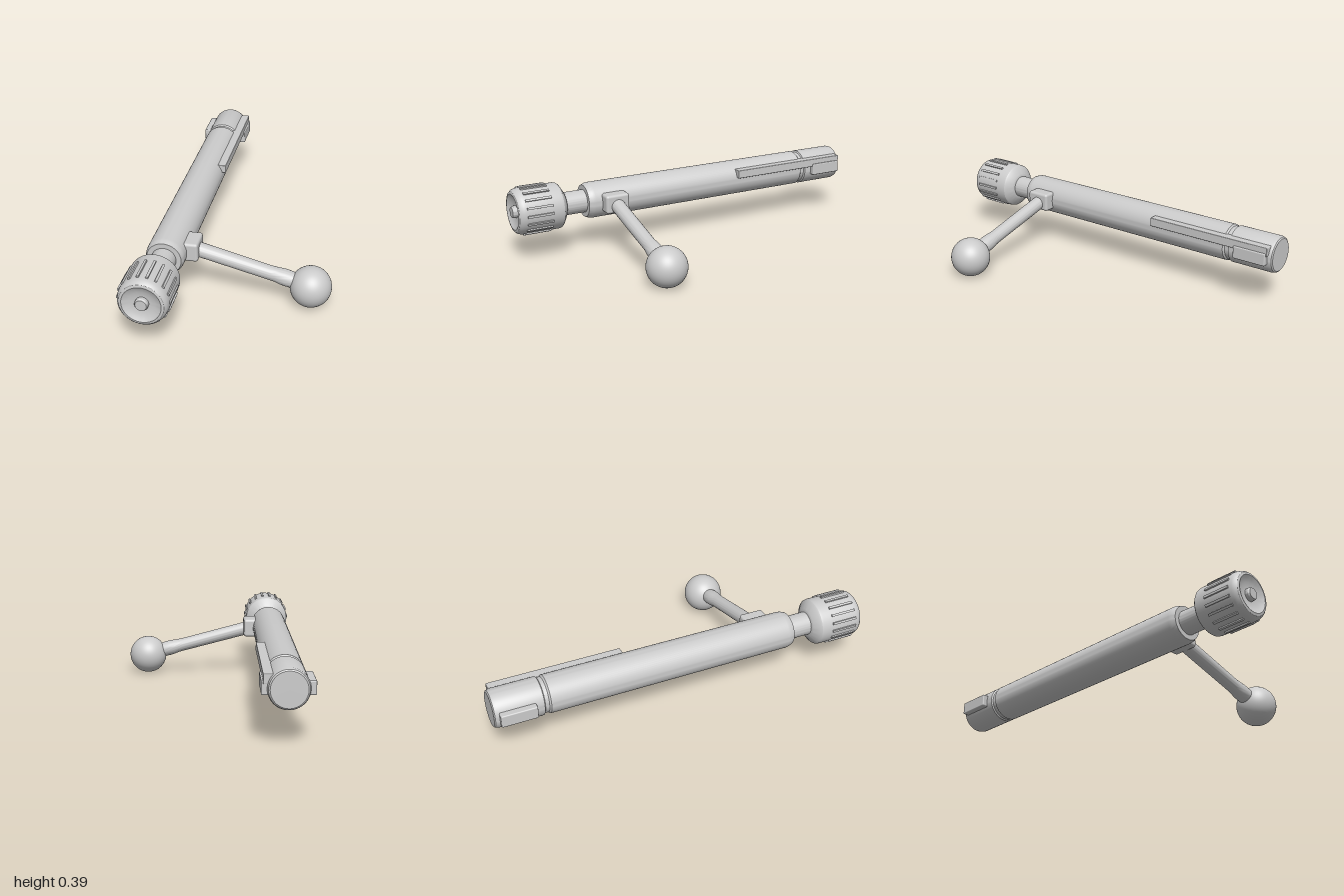
import * as THREE from 'three';
import { toCreasedNormals } from 'three/addons/utils/BufferGeometryUtils.js';
import { RoundedBoxGeometry } from 'three/addons/geometries/RoundedBoxGeometry.js';

const AX = -0.34, AY = 0.268; // centre line of the bolt, along z
const HANDLE_Z = 0.468;

export function createModel() {
  const root = new THREE.Group();
  const mat = new THREE.MeshStandardMaterial({ color: 0xcccccc });

  const add = (name, geo, x = 0, y = 0, z = 0, parent = root) => {
    const mesh = new THREE.Mesh(geo, mat);
    mesh.name = name;
    mesh.position.set(x, y, z);
    parent.add(mesh);
    return mesh;
  };

  // Turned part: [radius, z] pairs from back to front
  const turned = (pts, segments = 64) => {
    const geo = new THREE.LatheGeometry(pts.map(([r, z]) => new THREE.Vector2(r, z)), segments);
    return toCreasedNormals(geo.rotateX(Math.PI / 2), 0.5);
  };

  // Box given by its limits on each axis
  const block = (name, [x0, x1], [y0, y1], [z0, z1], r) =>
    add(name, new RoundedBoxGeometry(x1 - x0, y1 - y0, z1 - z0, 3, r),
      (x0 + x1) / 2, (y0 + y1) / 2, (z0 + z1) / 2);

  // Main cylinder with the groove behind the head
  add('boltBody', turned([
    [0, -1], [0.084, -1], [0.091, -0.995], [0.096, -0.98],
    [0.096, -0.755], [0.088, -0.75], [0.088, -0.73], [0.096, -0.722],
    [0.096, 0.57], [0.094, 0.585], [0.086, 0.605], [0, 0.605],
  ]), AX, AY);

  add('neck', turned([[0.061, 0.58], [0.061, 0.74]]), AX, AY);

  // Rear knob with a dished face and centre button
  const knob = new THREE.Group();
  knob.name = 'knob';
  knob.position.set(AX, AY, 0);
  root.add(knob);
  add('knobBody', turned([
    [0, 0.72], [0.068, 0.72], [0.078, 0.724], [0.114, 0.747], [0.12, 0.754], [0.122, 0.765],
    [0.122, 0.95], [0.12, 0.968], [0.115, 0.982], [0.106, 0.992], [0.094, 0.995],
    [0.08, 0.987], [0.062, 0.98], [0.04, 0.976], [0, 0.975],
  ]), 0, 0, 0, knob);
  add('knobButton', turned([
    [0.032, 0.97], [0.032, 0.992], [0.027, 1], [0, 1],
  ], 32), 0, 0, 0, knob);

  const ribGeo = new THREE.BoxGeometry(0.016, 0.012, 0.138).translate(0.121, 0, 0.884);
  for (let i = 0; i < 18; i++) {
    add('knobRib', ribGeo, 0, 0, 0, knob).rotation.z = (i / 18) * Math.PI * 2;
  }

  // Locking lugs and the long extractor strip
  block('leftLug', [-0.28, -0.218], [0.238, 0.304], [-0.975, -0.795], 0.006);
  block('rightLug', [-0.462, -0.4], [0.238, 0.304], [-0.975, -0.795], 0.006);
  block('extractor', [-0.28, -0.226], [0.288, 0.334], [-0.98, -0.29], 0.004);

  // Handle root, bent arm and ball
  block('handleRoot', [-0.29, -0.191], [0.22, 0.319], [0.402, 0.534], 0.014);

  const arm = [ // x, centre height, radius
    [-0.22, 0.263, 0.038], [0.165, 0.161, 0.037], [0.185, 0.156, 0.038],
    [0.208, 0.149, 0.041], [0.235, 0.143, 0.043], [0.26, 0.137, 0.042],
    [0.285, 0.131, 0.04], [0.33, 0.119, 0.039],
  ];
  const armHeight = (x) => {
    let i = 1;
    while (i < arm.length - 1 && x > arm[i][0]) i++;
    const [a, b] = [arm[i - 1], arm[i]];
    return a[1] + ((b[1] - a[1]) * (x - a[0])) / (b[0] - a[0]);
  };
  let armGeo = new THREE.LatheGeometry(arm.map(([x, , r]) => new THREE.Vector2(r, x)), 40);
  armGeo.rotateZ(-Math.PI / 2);
  const p = armGeo.attributes.position;
  for (let i = 0; i < p.count; i++) p.setY(i, p.getY(i) + armHeight(p.getX(i)));
  add('handleArm', toCreasedNormals(armGeo, 0.6), 0, 0, HANDLE_Z);

  add('handleBall', new THREE.SphereGeometry(0.104, 48, 32), 0.361, 0.106, HANDLE_Z);

  return root;
}
